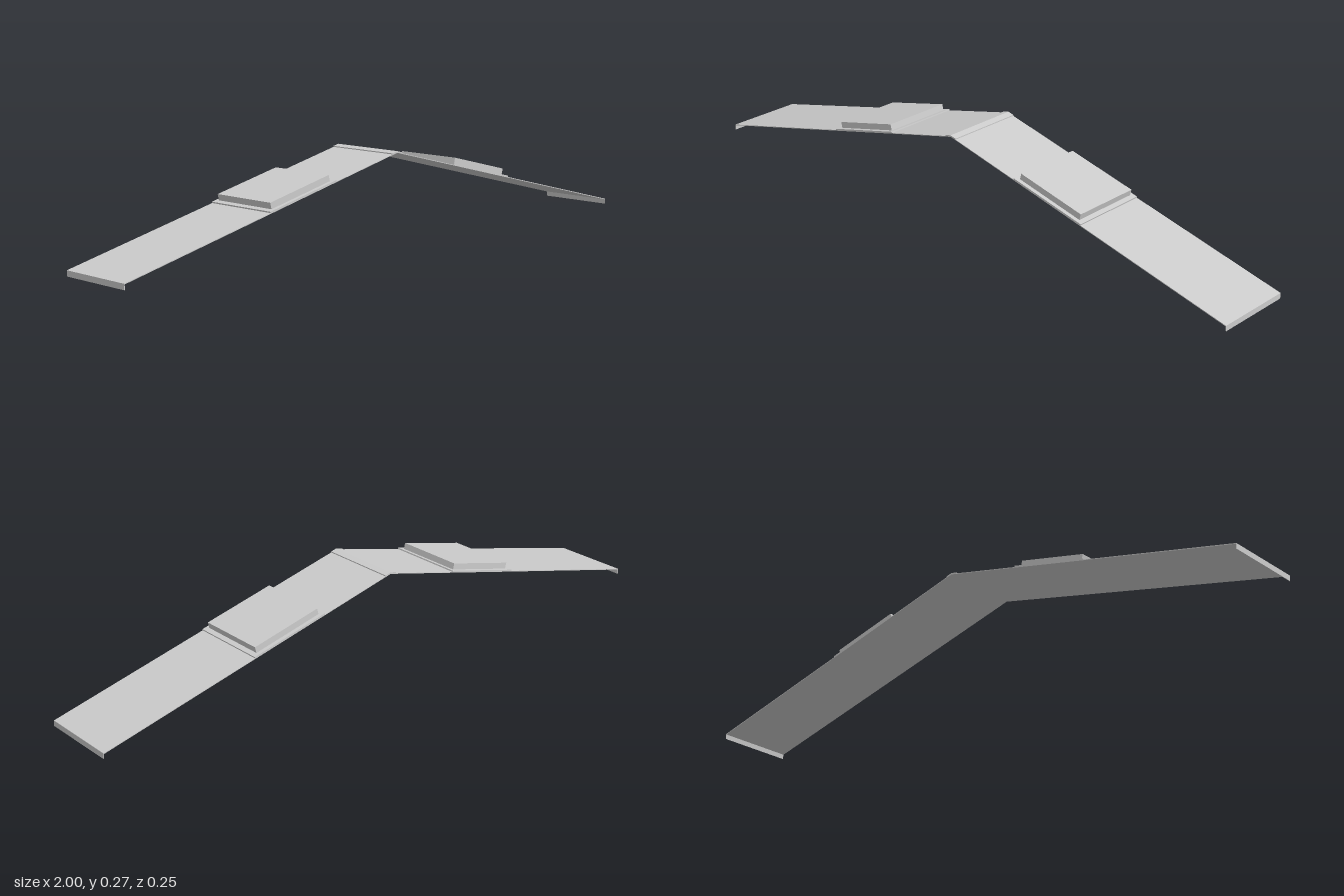
import * as THREE from 'three';

const RIDGE = 0.265, EAVE = 0.017, DEPTH = 0.25;
const SLOPE = Math.atan(RIDGE - EAVE);
const material = new THREE.MeshStandardMaterial({ color: 0xcccccc, flatShading: true, side: THREE.DoubleSide });

// Extrudes an x/y outline along z, centred on z = 0
function extrudeOutline(name, points, depth) {
  const shape = new THREE.Shape(points.map(([x, y]) => new THREE.Vector2(x, y)));
  const geometry = new THREE.ExtrudeGeometry(shape, { depth, bevelEnabled: false });
  geometry.translate(0, 0, -depth / 2);
  const mesh = new THREE.Mesh(geometry, material);
  mesh.name = name;
  return mesh;
}

// Flat slab lying on one slope: from/to are distances down the slope, lift is its height off the sheet
function slopeSlab(name, from, to, lift, thickness, depth) {
  const geometry = new THREE.BoxGeometry(to - from, thickness, depth);
  geometry.translate((from + to) / 2, lift + thickness / 2, 0);
  const mesh = new THREE.Mesh(geometry, material);
  mesh.name = name;
  mesh.position.y = RIDGE;
  mesh.rotation.z = -SLOPE;
  return mesh;
}

export function createModel() {
  const model = new THREE.Group();
  model.name = 'pitchedRoof';

  // Thin folded sheet with a short lip turned down at each eave
  const t = 0.002;
  model.add(extrudeOutline('roofSheet', [
    [-1, 0], [-1 + t, 0], [-1 + t, EAVE - t], [0, RIDGE - t], [1 - t, EAVE - t],
    [1, 0], [1, EAVE], [0, RIDGE], [-1, EAVE],
  ], DEPTH));

  // Ridge cap
  const capX = 0.02, capY = RIDGE - capX * Math.tan(SLOPE);
  model.add(extrudeOutline('ridgeCap', [
    [-capX, capY], [0, RIDGE], [capX, capY], [capX, capY + 0.003], [0, RIDGE + 0.003], [-capX, capY + 0.003],
  ], DEPTH));

  // Full-width flashing band and raised panel on each slope
  for (const side of [0, 1]) {
    const slope = new THREE.Group();
    slope.name = side ? 'rightSlope' : 'leftSlope';
    slope.rotation.y = side * Math.PI;
    slope.add(slopeSlab('flashingBand', 0.255, 0.513, 0, 0.004, DEPTH));
    slope.add(slopeSlab('raisedPanel', 0.268, 0.497, 0.004, 0.019, 0.224));
    model.add(slope);
  }
  return model;
}
